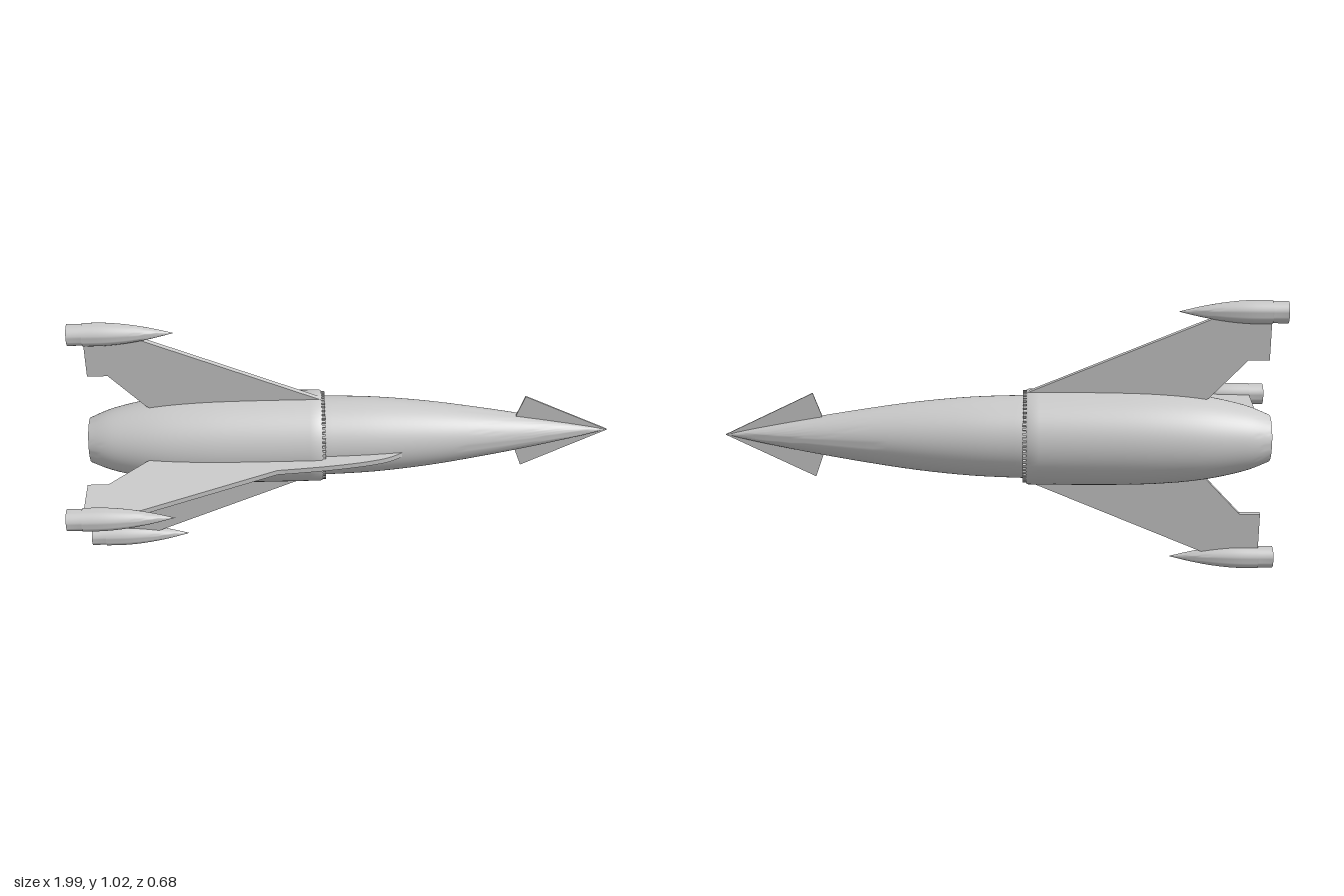
import * as THREE from 'three';
import { toCreasedNormals } from 'three/addons/utils/BufferGeometryUtils.js';

const v = ([x, r]) => new THREE.Vector2(r, x);

// Smooth run of [x, radius] points
const smooth = (pts, n = 24) => new THREE.SplineCurve(pts.map(v)).getPoints(n);

// Turns a profile around the x axis
function turned(name, profile, segments, material) {
  const geo = new THREE.LatheGeometry(profile, segments);
  geo.rotateZ(-Math.PI / 2);
  const mesh = new THREE.Mesh(toCreasedNormals(geo, 0.6), material);
  mesh.name = name;
  return mesh;
}

// Flat plate lying in the x / radial plane
function plate(name, shape, thickness, material) {
  const geo = new THREE.ExtrudeGeometry(shape, { depth: thickness, bevelEnabled: false, curveSegments: 16 });
  geo.translate(0, 0, -thickness / 2);
  const mesh = new THREE.Mesh(toCreasedNormals(geo, 0.5), material);
  mesh.name = name;
  return mesh;
}

const polygon = (pts) => new THREE.Shape(pts.map(([x, y]) => new THREE.Vector2(x, y)));

export function createModel() {
  const material = new THREE.MeshStandardMaterial({ color: 0xcccccc });
  const model = new THREE.Group();
  model.name = 'rocket';
  const rocket = new THREE.Group();
  rocket.name = 'rocketBody';
  rocket.position.set(0, 0.515, -0.17);
  model.add(rocket);

  // Rear hull: hollow exhaust, curved sleeve and bevelled front lip
  rocket.add(turned('rearHull', [
    ...[[-0.6, 0], [-0.6, 0.14], [-0.75, 0.13], [-0.87, 0.106], [-0.96, 0.076]].map(v),
    ...smooth([[-0.96, 0.084], [-0.87, 0.119], [-0.72, 0.151], [-0.55, 0.167], [-0.35, 0.172], [-0.1, 0.172]]),
    ...[[-0.092, 0.168], [-0.092, 0.14]].map(v),
  ], 64, material));

  // Front hull tapering to the nose
  rocket.add(turned('frontHull', [
    v([-0.12, 0.148]),
    ...smooth([[-0.085, 0.149], [0.1, 0.142], [0.3, 0.123], [0.5, 0.094], [0.7, 0.06], [0.88, 0.025], [0.99, 0]]),
  ], 64, material));

  // Ring of small teeth around the hull joint
  const collar = new THREE.Group();
  collar.name = 'collarTeeth';
  const toothGeo = new THREE.BoxGeometry(0.022, 0.02, 0.009);
  const count = 60;
  for (let i = 0; i < count; i++) {
    const a = (i / count) * Math.PI * 2;
    const tooth = new THREE.Mesh(toothGeo, material);
    tooth.name = 'collarTooth';
    tooth.position.set(-0.091, Math.cos(a) * 0.156, Math.sin(a) * 0.156);
    tooth.rotation.x = a;
    collar.add(tooth);
  }
  rocket.add(collar);

  // Engine pod: hollow nozzle, ring step and pointed body
  const podProfile = [
    ...[[-0.92, 0], [-0.92, 0.028], [-1, 0.028], [-1, 0.039], [-0.945, 0.039], [-0.945, 0.042]].map(v),
    ...smooth([[-0.94, 0.042], [-0.86, 0.041], [-0.78, 0.033], [-0.7, 0.019], [-0.62, 0]], 16),
  ];

  // Outlines as [x, distance from the hull axis]
  const straightFin = polygon([
    [-0.945, 0.445], [-0.945, 0.295], [-0.87, 0.295], [-0.74, 0.155], [-0.7, 0.13],
    [-0.12, 0.13], [-0.095, 0.17], [-0.74, 0.447],
  ]);
  const wing = polygon([
    [-0.945, 0.445], [-0.945, 0.285], [-0.87, 0.285], [-0.74, 0.155], [-0.7, 0.13], [0.15, 0.1], [0.21, 0.128],
  ]);
  wing.quadraticCurveTo(0.17, 0.16, 0.12, 0.173);
  wing.quadraticCurveTo(0.0, 0.205, -0.26, 0.225);
  wing.lineTo(-0.74, 0.437);

  // Upper, lower and front fins, each carrying a pod
  const fins = [
    ['upper', straightFin, 0],
    ['lower', straightFin, Math.PI],
    ['front', wing, Math.PI / 2],
  ];
  for (const [label, shape, angle] of fins) {
    const fin = new THREE.Group();
    fin.name = label + 'FinAssembly';
    fin.rotation.x = angle;
    const pod = turned(label + 'Pod', podProfile, 32, material);
    pod.position.y = 0.47;
    fin.add(plate(label + 'Fin', shape, 0.02, material), pod);
    rocket.add(fin);
  }

  // Thin fins on the nose
  for (const [label, angle] of [['upper', 0], ['lower', Math.PI]]) {
    const fin = plate(label + 'NoseFin', polygon([[0.64, 0.04], [0.99, 0], [0.67, 0.16], [0.64, 0.075]]), 0.006, material);
    fin.rotation.x = angle;
    rocket.add(fin);
  }

  return model;
}
